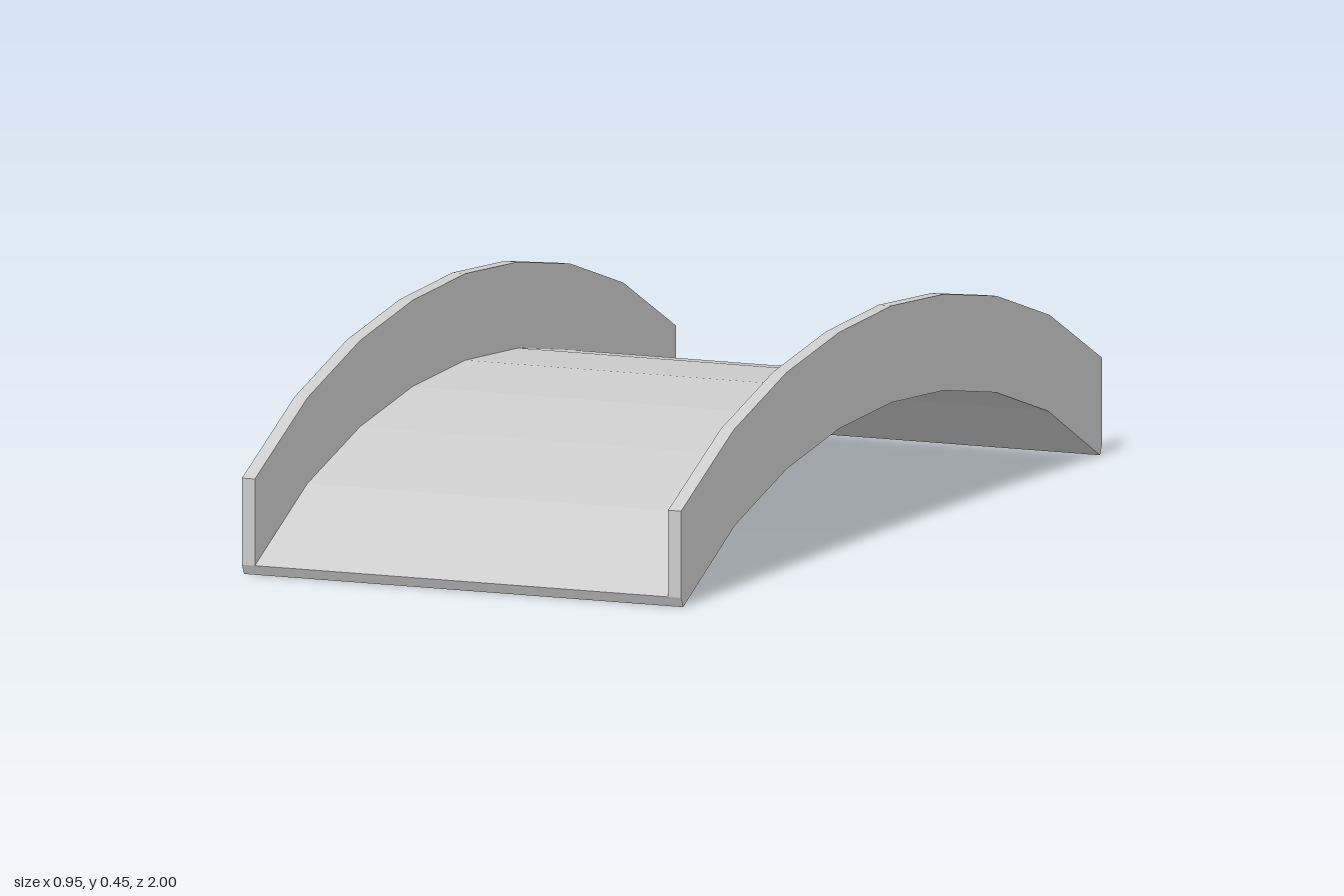
import * as THREE from 'three';

const material = new THREE.MeshStandardMaterial({ color: 0xcccccc, flatShading: true });

// Half profiles of the arch, from the crown (z = 0) to the foot (z = 1), as [z, y]
const underside = [[0, 0.257], [0.248, 0.243], [0.496, 0.201], [0.743, 0.126], [0.99, 0]];
const deckTop = [[0, 0.277], [0.25, 0.263], [0.5, 0.221], [0.75, 0.146], [1, 0.02]];
const railTop = [[0, 0.45], [0.25, 0.435], [0.5, 0.393], [0.75, 0.317], [1, 0.193]];

// Mirror a half profile into a full arch running from z = -1 to z = 1
function fullArch(half) {
  const back = half.slice(1).reverse().map(([z, y]) => [-z, y]);
  return [...back, ...half];
}

// Curved slab between two arches, centred on x with the given width
function archSlab(name, lower, upper, width, x) {
  const outline = [...fullArch(lower), ...fullArch(upper).reverse()];
  const shape = new THREE.Shape(outline.map(([z, y]) => new THREE.Vector2(z, y)));
  const geometry = new THREE.ExtrudeGeometry(shape, { depth: width, bevelEnabled: false });
  geometry.translate(0, 0, -width / 2);
  geometry.rotateY(-Math.PI / 2);
  const mesh = new THREE.Mesh(geometry, material);
  mesh.name = name;
  mesh.position.x = x;
  return mesh;
}

export function createModel() {
  const bridge = new THREE.Group();
  bridge.name = 'archedBridge';

  // Walkway across the full width
  bridge.add(archSlab('deck', underside, deckTop, 0.95, 0));

  // Side walls standing on the deck edges
  for (const [name, side] of [['leftRail', 1], ['rightRail', -1]]) {
    bridge.add(archSlab(name, deckTop, railTop, 0.028, side * 0.461));
  }
  return bridge;
}
